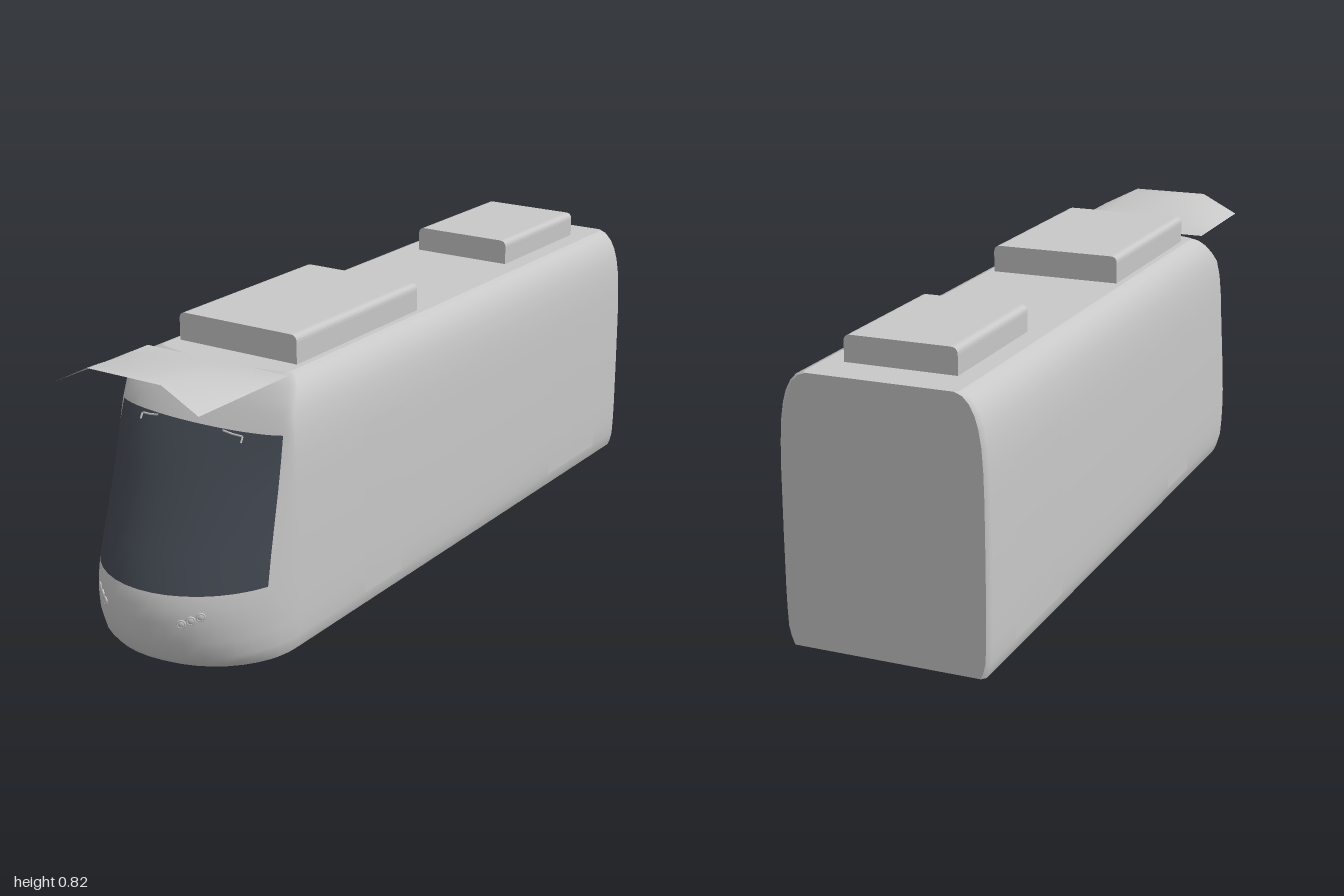
import * as THREE from 'three';

const bodyGrey = new THREE.MeshStandardMaterial({ color: 0xc8c8c8 });
bodyGrey.name = 'bodyGrey';
const sheetGrey = new THREE.MeshStandardMaterial({ color: 0xc8c8c8, side: THREE.DoubleSide });
sheetGrey.name = 'sheetGrey';
const glassBlue = new THREE.MeshStandardMaterial({ color: 0x434952 });
glassBlue.name = 'glassBlue';

// Body levels: height, half width, nose tip z
const LEVELS = [
  [0.065, 0.253, 0.93], [0.08, 0.259, 0.955], [0.105, 0.265, 0.977], [0.15, 0.267, 0.995],
  [0.2, 0.268, 1], [0.235, 0.268, 0.996], [0.27, 0.268, 0.985], [0.35, 0.268, 0.944],
  [0.5, 0.267, 0.852], [0.57, 0.265, 0.808], [0.627, 0.261, 0.768], [0.67, 0.254, 0.736],
  [0.7, 0.245, 0.712], [0.725, 0.232, 0.69], [0.742, 0.216, 0.672], [0.75, 0.196, 0.66],
];
const GLASS_LOW = 0.27, GLASS_HIGH = 0.627, GLASS_ANGLE = 1.2;

function level(y) {
  let i = 0;
  while (i < LEVELS.length - 2 && LEVELS[i + 1][0] < y) i++;
  const [a, b] = [LEVELS[i], LEVELS[i + 1]];
  const t = (y - a[0]) / (b[0] - a[0]);
  return { w: a[1] + (b[1] - a[1]) * t, tip: a[2] + (b[2] - a[2]) * t };
}
const shoulder = (tip) => Math.min(0.7, tip - 0.04);

// z of the nose surface at x, y
function noseZ(x, y) {
  const { w, tip } = level(y), s = shoulder(tip);
  return s + (tip - s) * Math.sqrt(1 - (x / w) ** 2);
}

function geometryFrom(positions, indices) {
  const g = new THREE.BufferGeometry();
  g.setAttribute('position', new THREE.Float32BufferAttribute(positions, 3));
  g.setIndex(indices);
  g.computeVertexNormals();
  return g;
}

function add(parent, name, geometry, material, x = 0, y = 0, z = 0) {
  const mesh = new THREE.Mesh(geometry, material);
  mesh.name = name;
  mesh.position.set(x, y, z);
  parent.add(mesh);
  return mesh;
}

function buildBody(parent) {
  // Plan outline angles around the nose, with the glass edges among them
  const angles = [Math.PI / 2, 1.45, 1.32];
  for (let k = 0; k <= 16; k++) angles.push(GLASS_ANGLE * (1 - k / 8));
  angles.push(-1.32, -1.45, -Math.PI / 2);
  const rings = LEVELS.map(([y, w, tip]) => {
    const s = shoulder(tip);
    const nose = angles.map((a) => [w * Math.sin(a), y, s + (tip - s) * Math.cos(a)]);
    return [[w - 0.01, y, -1], [w, y, -0.988], [w, y, 0.3], ...nose,
      [-w, y, 0.3], [-w, y, -0.988], [-w + 0.01, y, -1]];
  });
  const n = rings[0].length, shell = [], glass = [];
  for (let i = 0; i < rings.length - 1; i++) {
    for (let j = 0; j < n - 1; j++) {
      const a = i * n + j, c = a + n;
      const inGlass = j >= 6 && j < 22 && LEVELS[i][0] >= GLASS_LOW && LEVELS[i + 1][0] <= GLASS_HIGH;
      (inGlass ? glass : shell).push(a, c, a + 1, a + 1, c, c + 1);
    }
  }
  const wall = geometryFrom(rings.flat(2), [...shell, ...glass]);
  wall.addGroup(0, shell.length, 0);
  wall.addGroup(shell.length, glass.length, 1);
  add(parent, 'bodyShellAndWindshield', wall, [bodyGrey, glassBlue]);

  // Flat roof and floor as fans
  const fan = (ring, up) => {
    const idx = [];
    for (let j = 0; j < n; j++) {
      const k = (j + 1) % n;
      idx.push(n, ...(up ? [k, j] : [j, k]));
    }
    return geometryFrom([...ring.flat(), 0, ring[0][1], 0], idx);
  };
  add(parent, 'roof', fan(rings[rings.length - 1], true), bodyGrey);
  add(parent, 'floor', fan(rings[0], false), bodyGrey);

  // Flat rear wall
  const rear = [], rearIdx = [];
  rings.forEach((ring, i) => {
    rear.push(...ring[0], ...ring[n - 1]);
    const p = i * 2;
    if (i < rings.length - 1) rearIdx.push(p, p + 1, p + 2, p + 1, p + 3, p + 2);
  });
  add(parent, 'rearWall', geometryFrom(rear, rearIdx), bodyGrey);
}

// Thin door leaf that follows the curve of the side
function doorLeaf(side, z0, z1) {
  const pos = [], idx = [], steps = 8;
  for (let i = 0; i <= steps; i++) {
    const y = 0.105 + (0.46 * i) / steps, x = side * (level(y).w + 0.0015);
    pos.push(x, y, z0, x, y, z1);
    const p = i * 2;
    if (i < steps) idx.push(...(side > 0 ? [p, p + 1, p + 2, p + 1, p + 3, p + 2] : [p, p + 2, p + 1, p + 1, p + 2, p + 3]));
  }
  return geometryFrom(pos, idx);
}

// Raised roof unit with rounded top edges
function roofUnit(halfWidth, height, length) {
  const r = 0.018, s = new THREE.Shape();
  s.moveTo(-halfWidth, 0).lineTo(halfWidth, 0).lineTo(halfWidth, height - r);
  s.quadraticCurveTo(halfWidth, height, halfWidth - r, height).lineTo(-halfWidth + r, height);
  s.quadraticCurveTo(-halfWidth, height, -halfWidth, height - r);
  return new THREE.ExtrudeGeometry(s, { depth: length, bevelEnabled: false, curveSegments: 5 });
}

// Open front hood: flat at the back edge, arched towards the front
function hood() {
  const section = [[-0.215, 0], [-0.11, 1], [0.11, 1], [0.215, 0]];
  const pos = [], idx = [], steps = 8;
  for (let i = 0; i <= steps; i++) {
    const t = i / steps, rise = 0.054 * Math.sin((t * Math.PI) / 2);
    section.forEach(([x, h]) => pos.push(x, 0.752 + h * rise, 0.66 + 0.34 * t));
    for (let j = 0; j < 3 && i < steps; j++) {
      const a = i * 4 + j;
      idx.push(a, a + 4, a + 1, a + 1, a + 4, a + 5);
    }
  }
  return geometryFrom(pos, idx);
}

export function createModel() {
  const model = new THREE.Group();
  model.name = 'railCar';
  buildBody(model);
  add(model, 'frontHood', hood(), sheetGrey);
  add(model, 'frontRoofUnit', roofUnit(0.179, 0.077, 0.541), bodyGrey, 0, 0.746, 0.036);
  add(model, 'rearRoofUnit', roofUnit(0.145, 0.071, 0.4), bodyGrey, 0, 0.746, -0.89);

  // Wheel with an inner flange; profile runs along the axle
  const wheelGeo = new THREE.LatheGeometry([[0, -0.014], [0.066, -0.014], [0.066, -0.007],
    [0.056, -0.003], [0.054, 0.014], [0.045, 0.014], [0.04, 0.009], [0, 0.009]]
    .map(([r, h]) => new THREE.Vector2(r, h)), 32);

  for (const side of [1, -1]) {
    const label = side > 0 ? 'left' : 'right';
    // Doors
    for (const [z0, z1] of [[0.24, 0.415], [-0.709, -0.565], [-0.855, -0.712]]) {
      add(model, label + 'DoorLeaf', doorLeaf(side, z1, z0), sheetGrey);
    }
    // Wheels and side rails
    for (const z of [0.01, -0.395]) {
      const wheel = add(model, label + 'Wheel', wheelGeo, bodyGrey, side * 0.17, 0.066, z);
      wheel.rotation.z = -side * Math.PI / 2;
    }
    add(model, label + 'BogieRail', new THREE.BoxGeometry(0.008, 0.008, 0.405), bodyGrey, side * 0.165, 0.063, -0.1925);
    // Headlights
    for (const [x, y] of [[0.155, 0.221], [0.136, 0.212], [0.117, 0.203]]) {
      const lamp = new THREE.Group();
      lamp.name = label + 'Headlight';
      add(lamp, 'lampRing', new THREE.TorusGeometry(0.0095, 0.0025, 8, 20), bodyGrey);
      add(lamp, 'lampLens', new THREE.SphereGeometry(0.0085, 16, 8).scale(1, 1, 0.4), bodyGrey);
      lamp.position.set(side * x, y, noseZ(x, y));
      lamp.rotation.y = side * Math.atan2(noseZ(x - 0.01, y) - noseZ(x + 0.01, y), 0.02);
      model.add(lamp);
    }
    // Wiper: an arm along the top of the glass and a short hanging end
    const wiper = [[0.098, 0.624], [0.125, 0.62], [0.153, 0.618], [0.153, 0.604]]
      .map(([x, y]) => new THREE.Vector3(side * x, y, noseZ(x, y) + 0.002));
    const path = new THREE.CurvePath();
    for (let i = 0; i < 3; i++) path.add(new THREE.LineCurve3(wiper[i], wiper[i + 1]));
    add(model, label + 'Wiper', new THREE.TubeGeometry(path, 24, 0.0025, 6), bodyGrey);
  }
  // Axles
  for (const z of [0.01, -0.395]) {
    add(model, 'axle', new THREE.BoxGeometry(0.33, 0.008, 0.008), bodyGrey, 0, 0.063, z);
  }
  return model;
}
